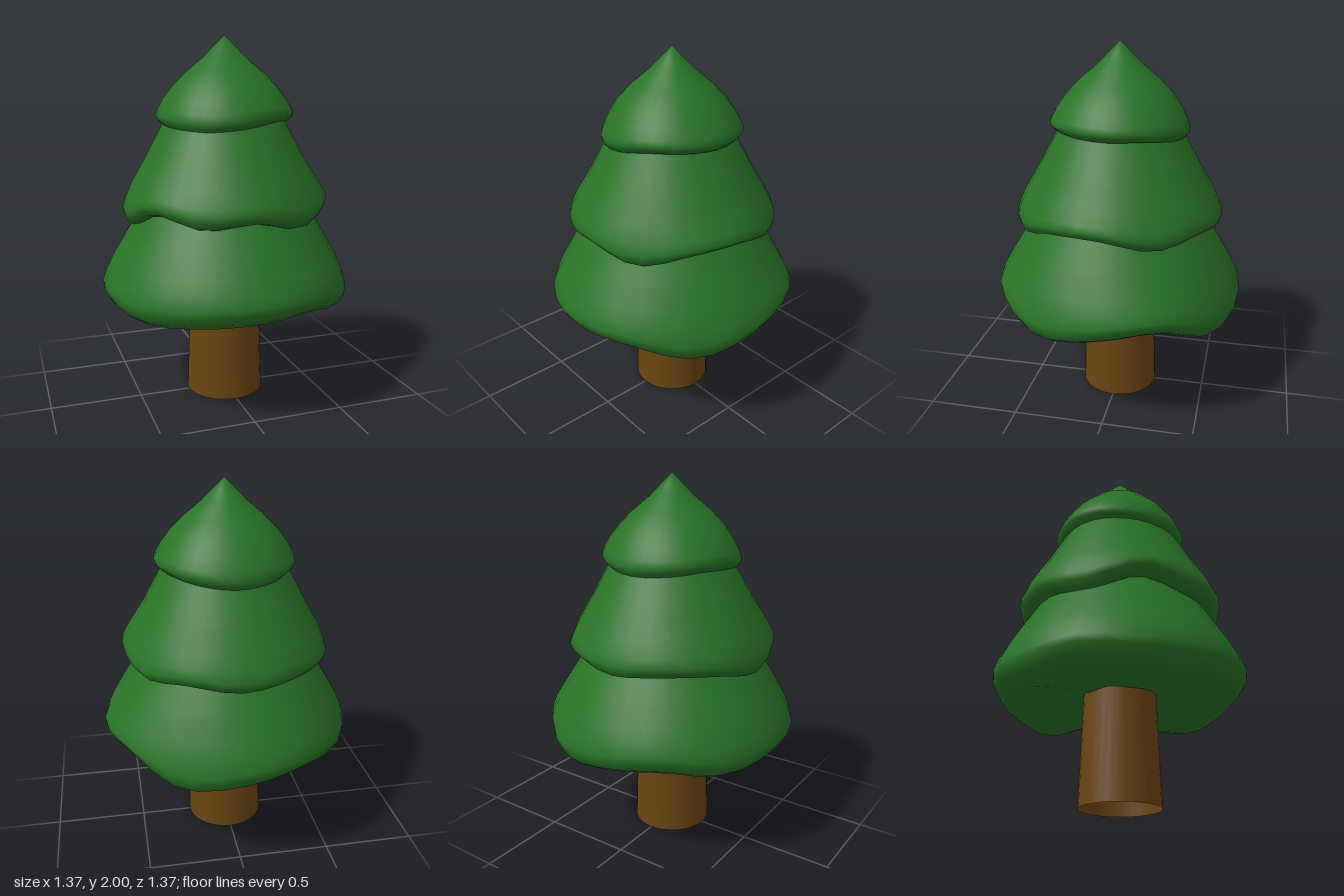
import * as THREE from 'three';
import { mergeVertices } from 'three/addons/utils/BufferGeometryUtils.js';

const SEGMENTS = 32;

// Smooth periodic curve through rim heights spaced evenly around the tree (from +x towards +z)
function rimHeight(heights, angle) {
  const n = heights.length;
  const t = (((angle / (Math.PI * 2)) % 1) + 1) % 1 * n;
  const i = Math.floor(t), f = t - i;
  const [a, b, c, d] = [-1, 0, 1, 2].map(k => heights[(i + k + n) % n]);
  return b + 0.5 * f * (c - a + f * (2 * a - 5 * b + 4 * c - d + f * (3 * (b - c) + d - a)));
}

// Lathed skirt whose hem follows a wavy rim; profile rows are [radius, height, share of the wave]
function makeTier(name, profile, heights, material) {
  const mean = heights.reduce((s, h) => s + h, 0) / heights.length;
  const lathe = new THREE.LatheGeometry(profile.map(p => new THREE.Vector2(p[0], p[1])), SEGMENTS);
  const pos = lathe.attributes.position;
  for (let i = 0; i < pos.count; i++) {
    const share = profile[i % profile.length][2];
    const wave = rimHeight(heights, Math.atan2(pos.getZ(i), pos.getX(i))) - mean;
    pos.setY(i, pos.getY(i) + wave * share);
  }
  // Weld the seam so the normals run smoothly all round
  lathe.deleteAttribute('uv');
  lathe.deleteAttribute('normal');
  const geometry = mergeVertices(lathe, 1e-4);
  geometry.computeVertexNormals();
  const mesh = new THREE.Mesh(geometry, material);
  mesh.name = name;
  return mesh;
}

export function createModel() {
  const tree = new THREE.Group();
  tree.name = 'pineTree';
  const green = new THREE.MeshStandardMaterial({ color: 0x297326, side: THREE.DoubleSide });
  const brown = new THREE.MeshStandardMaterial({ color: 0x6b4512, side: THREE.DoubleSide });

  // Trunk: open tapered tube reaching into the lowest tier
  const trunk = new THREE.Mesh(new THREE.CylinderGeometry(0.193, 0.215, 0.7, SEGMENTS, 1, true), brown);
  trunk.position.y = 0.35;
  trunk.name = 'trunk';
  tree.add(trunk);

  // Foliage tiers, each from the middle of its underside, round the hem and up
  tree.add(makeTier('lowerFoliage', [
    [0, 0.60, 0], [0.2, 0.59, 0.35], [0.42, 0.575, 0.8], [0.55, 0.555, 1], [0.61, 0.56, 1],
    [0.655, 0.59, 1], [0.682, 0.635, 0.9], [0.685, 0.67, 0.75], [0.665, 0.73, 0.5],
    [0.63, 0.80, 0.25], [0.56, 0.92, 0.05], [0.48, 1.05, 0], [0.40, 1.18, 0], [0, 1.3, 0],
  ], [0.58, 0.525, 0.59, 0.58, 0.56, 0.54, 0.565, 0.535, 0.58, 0.545, 0.51, 0.62], green));

  tree.add(makeTier('middleFoliage', [
    [0, 1.10, 0], [0.25, 1.09, 0.4], [0.42, 1.065, 0.9], [0.5, 1.045, 1], [0.535, 1.055, 1],
    [0.558, 1.08, 0.9], [0.565, 1.11, 0.75], [0.55, 1.15, 0.5], [0.515, 1.22, 0.2],
    [0.44, 1.345, 0.05], [0.34, 1.53, 0], [0.28, 1.62, 0], [0, 1.7, 0],
  ], [1.09, 1.08, 1.015, 1.065, 1.035, 1.09, 1.0, 1.04, 1.05, 1.03, 1.06, 1.03], green));

  tree.add(makeTier('upperFoliage', [
    [0, 1.55, 0], [0.2, 1.54, 0.5], [0.3, 1.522, 1], [0.345, 1.525, 1], [0.37, 1.55, 0.95],
    [0.376, 1.575, 0.8], [0.365, 1.605, 0.6], [0.335, 1.66, 0.3], [0.28, 1.735, 0.1],
    [0.21, 1.805, 0], [0.12, 1.88, 0], [0.05, 1.95, 0], [0, 2, 0],
  ], [1.54, 1.545, 1.545, 1.515, 1.49, 1.505, 1.525, 1.53, 1.51, 1.5, 1.52, 1.54], green));

  return tree;
}
